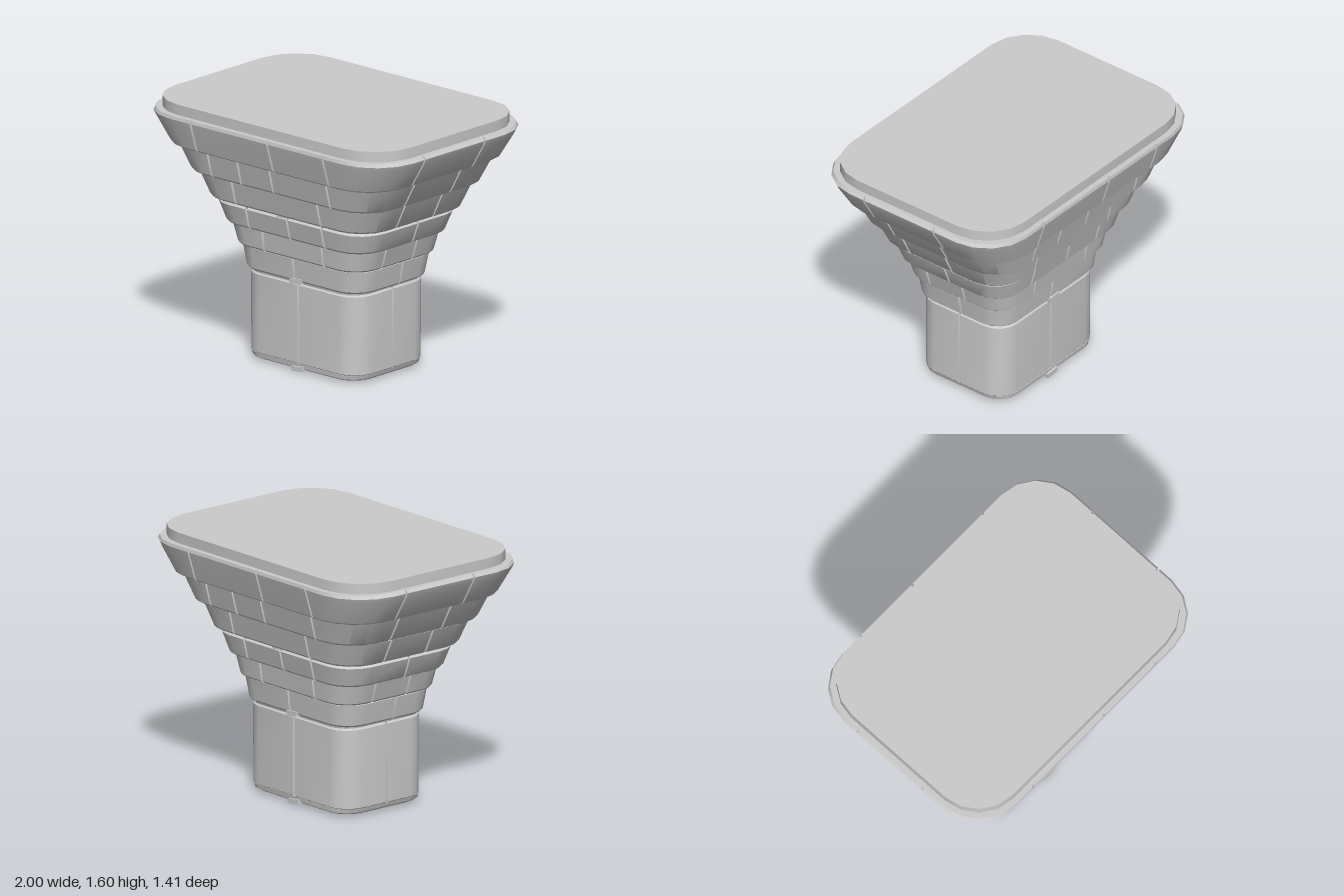
import * as THREE from 'three';
import { toCreasedNormals } from 'three/addons/utils/BufferGeometryUtils.js';

const material = new THREE.MeshStandardMaterial({ color: 0xcccccc });
const CORNER_STEPS = 4;

// Rounded rectangle, counter-clockwise from the front left, notched at the mortar joints.
function outline(hx, hz, frontJoints, sideJoints) {
  const r = 0.3 * hx, points = [];
  const sides = [
    { half: hx, out: hz, joints: frontJoints },
    { half: hz, out: hx, joints: sideJoints.map((z) => -z) },
    { half: hx, out: hz, joints: frontJoints },
    { half: hz, out: hx, joints: sideJoints.map((z) => -z) },
  ];
  sides.forEach(({ half, out, joints }, side) => {
    const angle = side * Math.PI / 2, c = Math.cos(angle), s = Math.sin(angle);
    // u runs along the side, d points outwards
    const add = (u, d) => points.push([u * c + d * s, -u * s + d * c]);
    add(r - half, out);
    for (const j of [...joints].sort((a, b) => a - b)) {
      add(j - 0.008, out);
      add(j - 0.005, out - 0.015);
      add(j + 0.005, out - 0.015);
      add(j + 0.008, out);
    }
    add(half - r, out);
    for (let k = 1; k < CORNER_STEPS; k++) {
      const a = k / CORNER_STEPS * Math.PI / 2;
      add(half - r + r * Math.sin(a), out - r + r * Math.cos(a));
    }
  });
  return points;
}

// Closed solid through rings of [y, halfX, halfZ].
function course(name, rings, frontJoints = [], sideJoints = []) {
  const positions = [], index = [];
  let n = 0;
  rings.forEach(([y, hx, hz]) => {
    const pts = outline(hx, hz, frontJoints, sideJoints);
    n = pts.length;
    pts.forEach(([x, z]) => positions.push(x, y, z));
  });
  const top = (rings.length - 1) * n, bottomCentre = rings.length * n;
  positions.push(0, rings[0][0], 0, 0, rings[rings.length - 1][0], 0);
  for (let i = 0; i < n; i++) {
    const j = (i + 1) % n;
    for (let a = 0; a < top; a += n) {
      index.push(a + i, a + j, a + n + j, a + i, a + n + j, a + n + i);
    }
    index.push(bottomCentre, j, i, bottomCentre + 1, top + i, top + j);
  }
  const geometry = new THREE.BufferGeometry();
  geometry.setAttribute('position', new THREE.Float32BufferAttribute(positions, 3));
  geometry.setIndex(index);
  const mesh = new THREE.Mesh(toCreasedNormals(geometry, 0.45), material);
  mesh.name = name;
  return mesh;
}

// Flared course of bricks with softened lower and upper edges.
function brickCourse(name, y0, y1, [x0, z0], [x1, z1], frontJoints, sideJoints) {
  const b = 0.012;
  return course(name, [
    [y0, x0 - b, z0 - b], [y0 + b, x0, z0],
    [y1 - b, x1, z1], [y1, x1 - b, z1 - b],
  ], frontJoints, sideJoints);
}

export function createModel() {
  const group = new THREE.Group();
  group.name = 'flaredStonePillar';

  // Square shaft with a chamfered foot
  group.add(course('shaftFoot', [[0.015, 0.44, 0.31], [0.025, 0.452, 0.325], [0.05, 0.46, 0.328]]));
  group.add(course('shaft', [[0.045, 0.455, 0.32], [0.055, 0.463, 0.328],
    [0.54, 0.463, 0.33], [0.55, 0.455, 0.322]], [-0.003], [0]));

  // Recessed mortar beds
  group.add(course('lowerBed', [[0.54, 0.45, 0.32], [0.59, 0.46, 0.33]]));
  group.add(course('upperBed', [[0.97, 0.62, 0.44], [1.03, 0.64, 0.46]]));

  // Brick courses, widening upwards
  const courses = [
    [0.565, 0.72, [0.485, 0.345], [0.51, 0.36], [-0.02], [-0.035]],
    [0.715, 0.855, [0.53, 0.385], [0.565, 0.4], [-0.23, 0.25], [0.17, -0.1]],
    [0.85, 0.99, [0.595, 0.43], [0.64, 0.458], [-0.31, 0.02, 0.3], [-0.03]],
    [1.005, 1.172, [0.68, 0.495], [0.75, 0.53], [-0.36, 0.33], [0.205, -0.12]],
    [1.168, 1.337, [0.78, 0.575], [0.86, 0.612], [-0.48, -0.24, 0.02, 0.48], [0.24, -0.165]],
  ];
  courses.forEach((c, i) => group.add(brickCourse(`brickCourse${i + 1}`, ...c)));

  // Top course leans out to a rim
  group.add(course('rimCourse', [[1.332, 0.88, 0.64], [1.342, 0.895, 0.652],
    [1.495, 0.988, 0.7], [1.52, 0.998, 0.707], [1.54, 0.982, 0.703]],
  [-0.53, 0.09, 0.54], [0.3, -0.23]));

  // Flat slab on top
  group.add(course('topSlab', [[1.5, 0.955, 0.668], [1.605, 0.955, 0.668]]));

  // Small chips of mortar along the front and back beds
  for (const [y, z] of [[0.02, 0.325], [0.57, 0.34], [1.005, 0.455]]) {
    for (const side of [1, -1]) {
      const chip = new THREE.Mesh(new THREE.BoxGeometry(0.09, 0.03, 0.03), material);
      chip.name = 'mortarChip';
      chip.position.set(-0.005, y, side * z);
      chip.rotation.z = side * 0.1;
      group.add(chip);
    }
  }
  return group;
}
